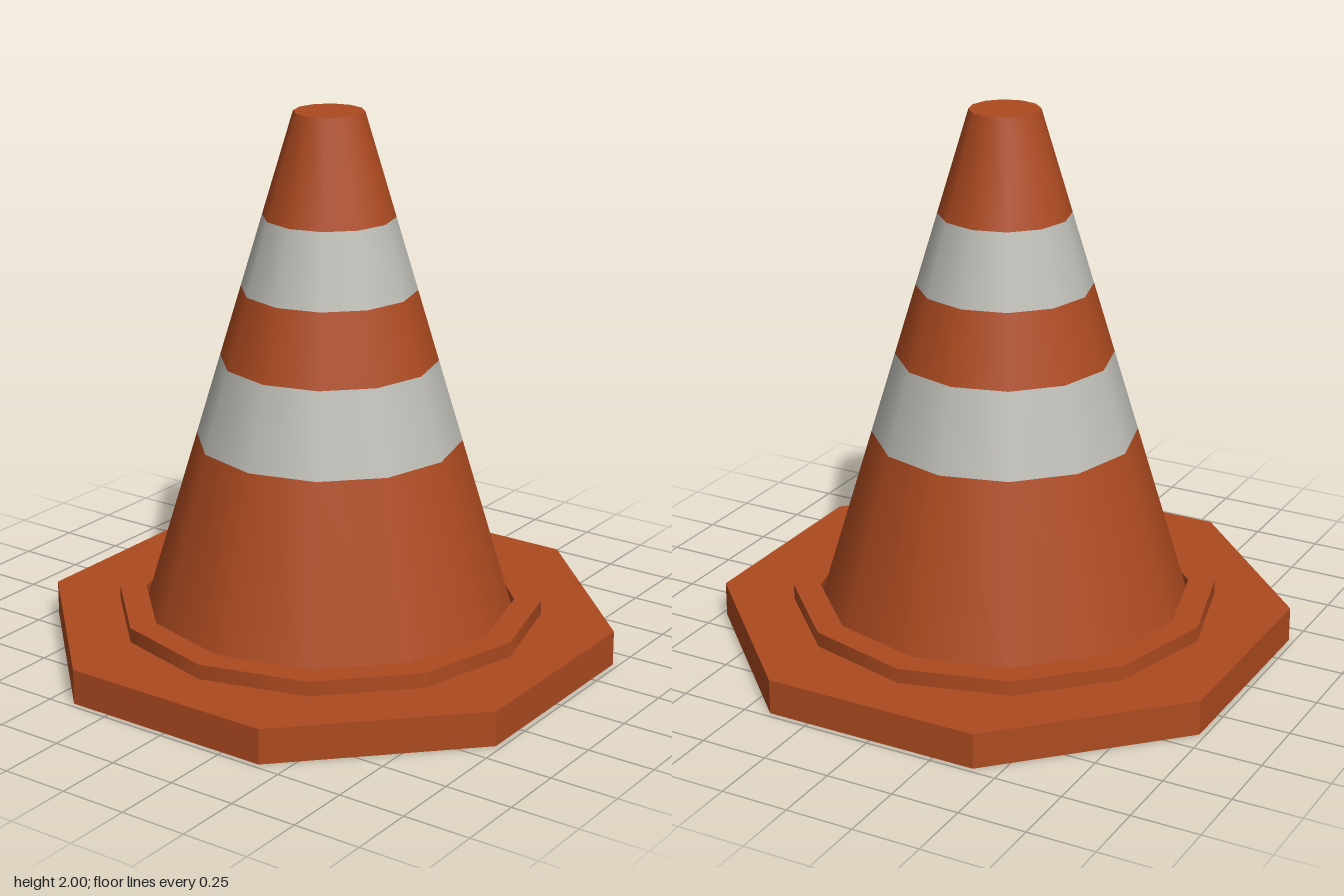
import * as THREE from 'three';
import { mergeGeometries } from 'three/addons/utils/BufferGeometryUtils.js';

const FOOT_TOP = 0.13;
const CONE_BASE = 0.685;

// Surface swept around y from each profile segment; edges between segments stay sharp.
function sweep(points, sides = 12) {
  const strips = [];
  for (let i = 0; i < points.length - 1; i++) {
    const pair = [points[i], points[i + 1]].map(([r, y]) => new THREE.Vector2(r, y));
    strips.push(new THREE.LatheGeometry(pair, sides));
  }
  return mergeGeometries(strips);
}

// Radius of the cone at a given height
const coneRadius = (y) => THREE.MathUtils.mapLinear(y, FOOT_TOP, 2, CONE_BASE, 0.127);

export function createModel() {
  const model = new THREE.Group();
  model.name = 'trafficCone';

  // The foot is an open shell, so its inside must show too
  const orange = new THREE.MeshStandardMaterial({ name: 'orange', color: 0xad4a20, side: THREE.DoubleSide });
  const white = new THREE.MeshStandardMaterial({ name: 'reflectiveWhite', color: 0xbdbcb6 });

  const add = (name, geometry, material) => {
    const mesh = new THREE.Mesh(geometry, material);
    mesh.name = name;
    model.add(mesh);
  };

  // Octagonal foot, hollow underneath, with flat sides facing the axes
  const foot = sweep([[1.06, 0], [1.06, FOOT_TOP], [0, FOOT_TOP]], 8).toNonIndexed();
  foot.rotateY(Math.PI / 8);
  foot.computeVertexNormals();
  add('foot', foot, orange);

  // Raised collar around the bottom of the cone
  add('collar', sweep([[0.785, FOOT_TOP], [0.785, 0.185], [CONE_BASE, 0.185], [CONE_BASE, FOOT_TOP]]), orange);

  // Cone body in alternating bands
  const heights = [FOOT_TOP, 0.8, 1.1, 1.36, 1.625, 2];
  for (let i = 0; i < heights.length - 1; i++) {
    const profile = [heights[i], heights[i + 1]].map((y) => [coneRadius(y), y]);
    const striped = i % 2 === 1;
    add(striped ? `stripe${(i + 1) / 2}` : `coneBand${i / 2 + 1}`, sweep(profile), striped ? white : orange);
  }

  // Closed tip
  add('tip', sweep([[coneRadius(2), 2], [0, 2]]), orange);

  return model;
}
